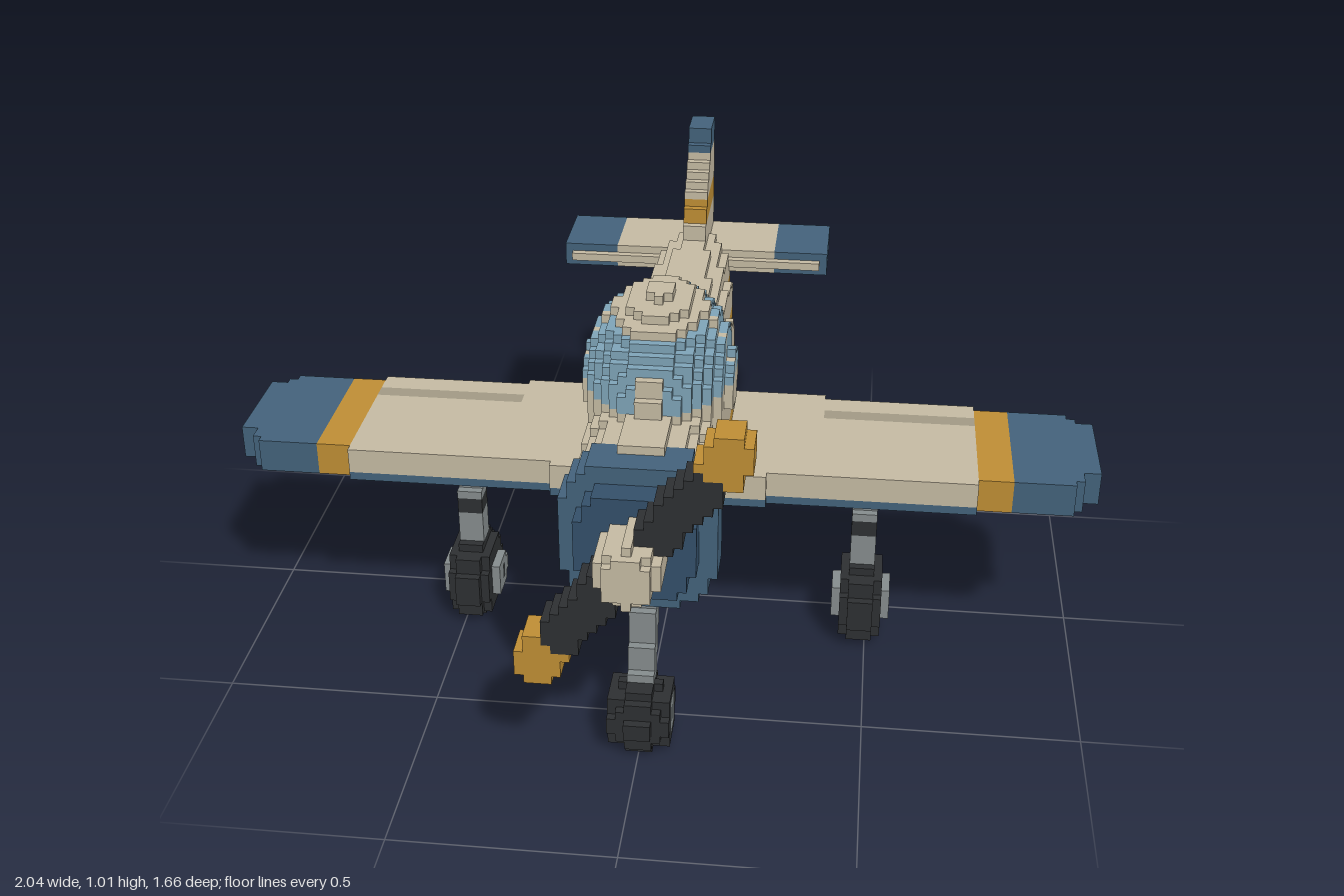
import * as THREE from 'three';

const V = 2 / 99; // edge of one cube
const CREAM = 0xc6bca4, BLUE = 0x44637c, NAVY = 0x34506a, GOLD = 0xc08f35;
const DARK = 0x2e3032, GREY = 0x868d8e, GLASS = 0x7fa5b9, SHADE = 0xa39a86;
const { abs, hypot, pow } = Math;

// piecewise linear lookup through [position, value] pairs
function ramp(keys, t) {
  if (t <= keys[0][0]) return keys[0][1];
  for (let i = 1; i < keys.length; i++) {
    const [t0, v0] = keys[i - 1], [t1, v1] = keys[i];
    if (t <= t1) return v0 + (v1 - v0) * (t - t0) / (t1 - t0);
  }
  return keys[keys.length - 1][1];
}

// rounded cross-section between a bottom and a top height
const section = (x, y, half, bottom, top) =>
  pow(abs(x) / half, 2.8) + pow(abs(2 * y - top - bottom) / (top - bottom), 2.8) < 1;

const key = (i, j, k) => i + ',' + j + ',' + k;

// fill the cubes of a box whose rule gives a colour; bounds are half width, y range, z range
function fill(cells, part, w, y0, y1, z0, z1, rule) {
  const n = Math.ceil(w / V);
  for (let i = -n; i <= n; i++)
    for (let j = Math.floor(y0 / V); j <= Math.ceil(y1 / V); j++)
      for (let k = Math.floor(z0 / V); k <= Math.ceil(z1 / V); k++) {
        const color = rule(i * V, (j + 0.5) * V, (k + 0.5) * V);
        if (color && j >= 0) cells.set(key(i, j, k), { at: [i, j, k], part, color });
      }
}

// outer faces of all cubes, gathered per part and colour
function buildMeshes(cells) {
  const parts = new Map();
  for (const { at, part, color } of cells.values()) {
    if (!parts.has(part)) parts.set(part, new Map());
    const colors = parts.get(part);
    if (!colors.has(color)) colors.set(color, []);
    const out = colors.get(color);
    const low = [(at[0] - 0.5) * V, at[1] * V, at[2] * V];
    for (let d = 0; d < 3; d++)
      for (const s of [1, -1]) {
        const next = [...at];
        next[d] += s;
        if (cells.has(key(...next))) continue;
        const u = (d + 1) % 3, w = (d + 2) % 3;
        const corners = [[0, 0], [1, 0], [1, 1], [0, 1]].map(([a, b]) => {
          const p = [...low];
          if (s > 0) p[d] += V;
          p[u] += a * V;
          p[w] += b * V;
          return p;
        });
        if (s < 0) corners.reverse();
        for (const c of [0, 1, 2, 0, 2, 3]) out.push(...corners[c]);
      }
  }
  const root = new THREE.Group();
  for (const [part, colors] of parts) {
    const group = new THREE.Group();
    group.name = part;
    for (const [color, points] of colors) {
      if (!points.length) continue;
      const geometry = new THREE.BufferGeometry();
      geometry.setAttribute('position', new THREE.Float32BufferAttribute(points, 3));
      geometry.computeVertexNormals();
      const mesh = new THREE.Mesh(geometry, new THREE.MeshStandardMaterial({ color, flatShading: true }));
      mesh.name = part + 'Surface';
      group.add(mesh);
    }
    root.add(group);
  }
  return root;
}

export function createModel() {
  const cells = new Map();

  // wings: stepped edges, blue underside layer, gold bands, blue rounded tips
  fill(cells, 'wings', 1, 0.44, 0.53, -0.16, 0.3, (x, y, z) => {
    const a = abs(x);
    if (y < 0.44 || y > 0.525) return null;
    const corner = a > 0.985 ? 0.045 : a > 0.965 ? 0.02 : 0;
    const back = (a < 0.38 ? -0.145 : a < 0.73 ? -0.125 : -0.105) + corner;
    const front = (a < 0.25 ? 0.285 : a < 0.52 ? 0.27 : a < 0.73 ? 0.255 : 0.235) - corner;
    if (z < back || z > front) return null;
    if (a > 0.815) return BLUE;
    if (a > 0.745) return GOLD;
    if (a > 0.37 && a < 0.73 && z > -0.065 && z < -0.025 && (y > 0.505 || y < 0.465)) return SHADE;
    return y < 0.465 ? BLUE : CREAM;
  });

  // fuselage: tapering body with a gold stripe over a blue belly
  const half = [[-0.8, 0.05], [-0.6, 0.09], [-0.15, 0.137], [0, 0.155], [0.4, 0.155], [0.55, 0.135]];
  const belly = [[-0.8, 0.57], [-0.1, 0.39]];
  const spine = [[-0.8, 0.7], [-0.55, 0.74], [-0.18, 0.75], [-0.05, 0.755], [0.1, 0.74]];
  const stripe = [[-0.8, 0.605], [-0.1, 0.53]];
  fill(cells, 'fuselage', 0.2, 0.37, 0.78, -0.79, 0.53, (x, y, z) => {
    if (z < -0.79 || !section(x, y, ramp(half, z), ramp(belly, z), ramp(spine, z))) return null;
    const s = ramp(stripe, z);
    return y < s ? BLUE : y < s + 0.04 ? GOLD : CREAM;
  });

  // canopy: glazed dome with cream roof, hoop and front post
  fill(cells, 'canopy', 0.18, 0.64, 0.95, -0.06, 0.46, (x, y, z) => {
    if (hypot(x / 0.17, (y - 0.735) / 0.207, (z - 0.195) / 0.247) > 1) return null;
    const hoop = abs(z - 0.21) < 0.017;
    const post = abs(x) < 0.03 && z > 0.2 && y < 0.82;
    return y < 0.745 || y > 0.885 || hoop || post ? CREAM : GLASS;
  });

  // engine cowl and the narrower ring in front of it
  fill(cells, 'cowl', 0.18, 0.37, 0.75, 0.52, 0.63, (x, y, z) =>
    z > 0.525 && z < 0.626 && section(x, y, 0.172, 0.385, 0.735) ? BLUE : null);
  fill(cells, 'noseRing', 0.15, 0.42, 0.7, 0.62, 0.68, (x, y, z) =>
    z > 0.626 && z < 0.677 && section(x, y, 0.13, 0.44, 0.695) ? NAVY : null);

  // propeller: one slanted rounded bar with gold ends
  const dir = [0.62, 0.785];
  fill(cells, 'propeller', 0.29, 0.24, 0.9, 0.67, 0.78, (x, y, z) => {
    if (z < 0.677 || z > 0.775) return null;
    const along = abs(x * dir[0] + (y - 0.575) * dir[1]);
    const across = abs(x * dir[1] - (y - 0.575) * dir[0]);
    const beyond = Math.max(0, along - 0.335);
    const gold = along > 0.275;
    const depth = abs(z - 0.727) > 0.035 ? 0.01 : 0;
    if (hypot(across, beyond) > (gold ? 0.051 : 0.043) - depth) return null;
    return gold ? GOLD : DARK;
  });

  // spinner
  fill(cells, 'spinner', 0.08, 0.5, 0.65, 0.67, 0.83, (x, y, z) =>
    z > 0.677 && z < 0.828 && hypot(x, y - 0.57) < (z > 0.808 ? 0.058 : 0.068) ? CREAM : null);

  // tailplane: a longer cream core between two skins with blue ends
  fill(cells, 'tailplane', 0.36, 0.64, 0.71, -0.84, -0.57, (x, y, z) => {
    const a = abs(x);
    if (y < 0.645 || y > 0.71) return null;
    const skin = z > -0.81 && z < -0.6 && a < 0.355;
    const core = abs(y - 0.677) < 0.012 && z > -0.83 && z < -0.58 && a < 0.335;
    if (core && !skin) return CREAM;
    return skin ? (a > 0.215 ? BLUE : CREAM) : null;
  });

  // fin: swept leading edge, gold band, blue cap
  const leading = [[0.7, -0.545], [0.76, -0.56], [0.84, -0.6], [0.95, -0.685], [1.02, -0.715]];
  fill(cells, 'fin', 0.04, 0.7, 1.02, -0.82, -0.54, (x, y, z) => {
    if (abs(x) > 0.031 || y < 0.7 || y > 1.02 || z < -0.81 || z > ramp(leading, y)) return null;
    return y > 0.955 ? BLUE : y > 0.79 && y < 0.84 ? GOLD : CREAM;
  });

  // main struts, leaning slightly, with a dark joint
  fill(cells, 'mainStruts', 0.53, 0.1, 0.45, 0.03, 0.15, (x, y, z) => {
    const dx = abs(abs(x) - 24 * V);
    const lean = ramp([[0.17, 0.097], [0.44, 0.075]], y);
    if (dx > 0.031 || y < 0.1 || y > 0.444 || abs(z - lean) > 0.028) return null;
    return dx < 0.021 && y > 0.285 && y < 0.33 ? DARK : GREY;
  });

  // nose strut, raked forward
  fill(cells, 'noseStrut', 0.04, 0.08, 0.44, 0.4, 0.65, (x, y, z) =>
    abs(x) < 0.031 && y > 0.08 && y < 0.43 &&
    abs(z - ramp([[0.09, 0.6], [0.42, 0.495]], y)) < 0.027 ? GREY : null);

  // wheels: tyre with stepped shoulders, hub and axle dot
  const wheel = (part, xc, yc, zc, radius, shoulder, hub) =>
    fill(cells, part, xc + 0.09, 0, 2 * radius + 0.02, zc - radius, zc + radius, (x, y, z) => {
      const dx = abs(abs(x) - xc), r = hypot(y - yc, z - zc);
      if (dx > 0.071) return null;
      if (r < hub) return r < 0.016 ? DARK : GREY;
      const limit = dx > 0.051 ? shoulder : dx > 0.031 ? radius - 0.013 : radius;
      return r < limit ? DARK : null;
    });
  wheel('mainWheels', 24 * V, 5 * V, 0.096, 0.104, 0, 0.05);
  wheel('noseWheel', 0, 4 * V, 0.596, 0.084, 0.066, 0.04);

  return buildMeshes(cells);
}
